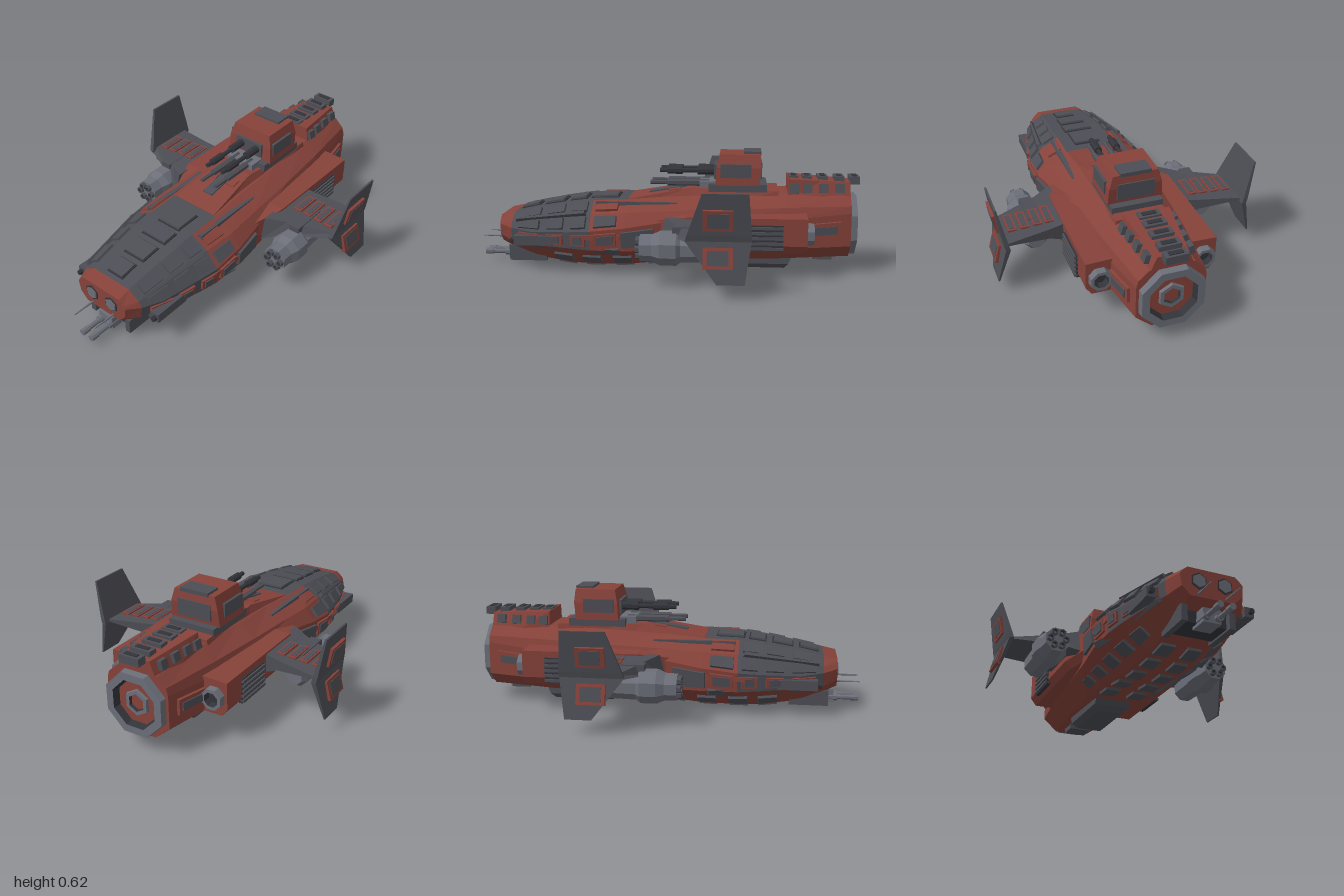
import * as THREE from 'three';

const mat = (name, color) => Object.assign(new THREE.MeshStandardMaterial({ color }), { name });
const RED = mat('hull red', 0x86423a), GREY = mat('armour grey', 0x4d4e55),
  STEEL = mat('engine steel', 0x6b6e78), DARK = mat('recess dark', 0x33343a);

// hull half profiles: z, then bottom edge, low chine, high chine, shoulder, deck edge
const HULL = [
  [0.88, [0.11, 0.135], [0.15, 0.175], [0.16, 0.235], [0.148, 0.25], [0.12, 0.275]],
  [0.81, [0.12, 0.10], [0.19, 0.15], [0.20, 0.22], [0.18, 0.25], [0.12, 0.29]],
  [0.70, [0.12, 0.055], [0.23, 0.14], [0.24, 0.21], [0.20, 0.27], [0.125, 0.315]],
  [0.50, [0.13, 0.025], [0.275, 0.135], [0.28, 0.22], [0.22, 0.30], [0.14, 0.35]],
  [0.38, [0.13, 0.02], [0.295, 0.13], [0.305, 0.23], [0.235, 0.31], [0.14, 0.365]],
  [0.20, [0.13, 0.022], [0.295, 0.13], [0.305, 0.25], [0.25, 0.32], [0.14, 0.37]],
  [0.00, [0.14, 0.045], [0.27, 0.13], [0.28, 0.28], [0.24, 0.33], [0.13, 0.385]],
  [-0.30, [0.14, 0.06], [0.24, 0.14], [0.25, 0.28], [0.225, 0.34], [0.13, 0.40]],
  [-0.62, [0.13, 0.07], [0.22, 0.14], [0.22, 0.29], [0.20, 0.35], [0.12, 0.41]],
  [-0.95, [0.09, 0.08], [0.17, 0.15], [0.17, 0.32], [0.16, 0.355], [0.11, 0.40]],
];
const half = ([, ...p]) => [[0, p[0][1]], ...p, [0, p[4][1]]];

// point on the hull skin: u = 0 keel, 6 deck centre; beyond either end is the mirrored side
function skin(z, u) {
  if (u < 0 || u > 6) { const p = skin(z, u < 0 ? -u : 12 - u); p.x *= -1; return p; }
  let i = 0;
  while (i < HULL.length - 2 && z < HULL[i + 1][0]) i++;
  const t = (z - HULL[i][0]) / (HULL[i + 1][0] - HULL[i][0]), j = Math.min(5, Math.floor(u)), f = u - j;
  const at = (s) => { const h = half(s); return [0, 1].map((k) => h[j][k] + (h[j + 1][k] - h[j][k]) * f); };
  const a = at(HULL[i]), b = at(HULL[i + 1]);
  return new THREE.Vector3(a[0] + (b[0] - a[0]) * t, a[1] + (b[1] - a[1]) * t, z);
}

// closed faceted solid through rings of points, turned outward by its signed volume
function loft(rings, colour) {
  const n = rings[0].length, faces = [], mats = [];
  const tri = (a, b, c, m) => { faces.push([a, b, c]); mats.push(m); };
  for (let i = 0; i < rings.length - 1; i++) for (let j = 0; j < n; j++) {
    const k = (j + 1) % n, m = colour(i, j);
    tri(rings[i][j], rings[i][k], rings[i + 1][k], m);
    tri(rings[i][j], rings[i + 1][k], rings[i + 1][j], m);
  }
  const first = rings[0], last = rings[rings.length - 1];
  for (let j = 1; j < n - 1; j++) {
    tri(first[0], first[j + 1], first[j], colour(0, 0));
    tri(last[0], last[j], last[j + 1], colour(rings.length - 2, 0));
  }
  const c = first[0], v = new THREE.Vector3(), q = () => new THREE.Vector3();
  let vol = 0;
  for (const [p, r, s] of faces) vol += q().subVectors(p, c).dot(v.crossVectors(q().subVectors(r, c), q().subVectors(s, c)));
  const list = [...new Set(mats)], pts = [], geo = new THREE.BufferGeometry();
  list.forEach((m, g) => {
    const start = pts.length;
    faces.forEach(([p, r, s], i) => { if (mats[i] === m) pts.push(...(vol > 0 ? [p, r, s] : [p, s, r])); });
    geo.addGroup(start, pts.length - start, g);
  });
  geo.setFromPoints(pts).computeVertexNormals();
  return new THREE.Mesh(geo, list.length > 1 ? list : list[0]);
}

export function createModel() {
  const root = new THREE.Group();
  root.name = 'gunship';
  const V = (x, y, z) => new THREE.Vector3(x, y, z);
  const put = (name, mesh) => { mesh.name = name; root.add(mesh); return mesh; };
  const solid = (name, m, rings) => put(name, loft(rings, typeof m === 'function' ? m : () => m));
  const box = (name, m, w, h, d, x, y, z) => {
    const b = put(name, new THREE.Mesh(new THREE.BoxGeometry(w, h, d), m));
    b.position.set(x, y, z);
    return b;
  };
  // faceted turned part along z, steps are [radius, z]
  const spin = (name, m, x, y, n, steps) => solid(name, m, steps.map(([r, z]) => Array.from({ length: n }, (_, i) => {
    const a = (i + 0.5) / n * Math.PI * 2;
    return V(x + r * Math.cos(a), y + r * Math.sin(a), z);
  })));
  const slab = (name, m, c, h) => { // four corners thickened outward by h
    const nrm = V(0, 0, 0).crossVectors(c[2].clone().sub(c[0]), c[3].clone().sub(c[1])).normalize();
    const mid = c[0].clone().add(c[2]).multiplyScalar(0.5);
    if (nrm.dot(V(mid.x, mid.y - 0.2, 0)) < 0) nrm.negate();
    const lift = (k, s) => c.map((p) => p.clone().lerp(mid, s).addScaledVector(nrm, k));
    solid(name, m, [lift(-0.012, 0), lift(h, 0.05)]);
  };
  const plate = (name, m, z0, z1, u0, u1, h = 0.012) =>
    slab(name, m, [skin(z0, u0), skin(z0, u1), skin(z1, u1), skin(z1, u0)], h);
  const both = (fn) => [1, -1].forEach(fn);
  const pair = (name, m, z0, z1, u0, u1, h) => both((s) => s > 0
    ? plate(name, m, z0, z1, u0, u1, h) : plate(name, m, z0, z1, 12 - u0, 12 - u1, h));

  // main hull: grey forward armour over a red body
  solid('hull', (i, j) => {
    const f = j < 6 ? j : 11 - j;
    if (i >= 1 && i <= 3 && f >= 2) return GREY;
    return i === 4 && f === 5 ? GREY : RED;
  }, HULL.map((s) => {
    const h = half(s);
    return [...h.map(([x, y]) => V(x, y, s[0])), ...h.slice(1, 6).reverse().map(([x, y]) => V(-x, y, s[0]))];
  }));

  // nose windows, spikes and chin gun
  both((s) => {
    spin('noseWindowFrame', DARK, s * 0.065, 0.213, 6, [[0.042, 0.87], [0.042, 0.884]]);
    spin('noseWindow', STEEL, s * 0.065, 0.213, 6, [[0.034, 0.87], [0.034, 0.888]]);
    spin('noseSpike', STEEL, s * 0.07, 0.148, 6, [[0.007, 0.84], [0.003, 1]]);
    spin('chinBarrel', STEEL, s * 0.03, 0.052, 8, [[0.02, 0.8], [0.02, 0.89], [0.013, 0.89], [0.013, 0.96], [0.017, 0.96], [0.017, 1]]);
    box('chinCheek', GREY, 0.03, 0.08, 0.2, s * 0.12, 0.07, 0.74);
  });
  box('chinRecess', DARK, 0.22, 0.07, 0.14, 0, 0.075, 0.74);
  box('chinMount', STEEL, 0.09, 0.07, 0.1, 0, 0.06, 0.82);

  // forward deck hatches and armour strips
  [[0.26, 0.40, 0.5], [0.43, 0.51, 0.55], [0.55, 0.65, 0.5], [0.69, 0.78, 0.4]].forEach(([a, b, u]) => {
    plate('deckHatchFrame', DARK, a - 0.007, b + 0.007, 6 - u - 0.04, 6 + u + 0.04, 0.005);
    plate('deckHatch', GREY, a, b, 6 - u, 6 + u, 0.014);
  });
  [[0.24, 0.36], [0.40, 0.48], [0.52, 0.61], [0.65, 0.77]].forEach(([a, b], i) => {
    pair('shoulderPlate', i ? GREY : RED, a, b, 4.15, 4.85, 0.012);
    pair('sidePlate', GREY, a, b, 3.15, 3.8, 0.015);
    pair('sidePanelFrame', RED, a, b, 2.2, 2.85, 0.012);
    pair('sidePanel', GREY, a + 0.015, b - 0.015, 2.3, 2.75, 0.018);
  });
  pair('chineStrake', GREY, 0.22, 0.78, 1.88, 2.15, 0.02);
  pair('sideArmour', GREY, 0.05, 0.22, 2.15, 2.85, 0.015);
  pair('upperRail', GREY, 0.4, 0.79, 3.9, 4.1, 0.022);
  both((s) => {
    box('cheekPod', GREY, 0.05, 0.05, 0.2, s * 0.25, 0.17, 0.68);
    spin('cheekGun', DARK, s * 0.255, 0.17, 6, [[0.014, 0.76], [0.014, 0.8]]);
    box('deckRail', GREY, 0.025, 0.04, 0.42, s * 0.175, 0.345, 0.15);
    box('sideRail', RED, 0.02, 0.025, 0.2, s * 0.3, 0.2, 0.32);
  });

  // raised deck leading to the turret
  const bar = (w0, w1, y0, y1, z) => [V(-w0, y0, z), V(w0, y0, z), V(w1, y1, z), V(-w1, y1, z)];
  solid('raisedDeck', RED, [bar(0.14, 0.13, 0.33, 0.372, 0.2), bar(0.15, 0.10, 0.33, 0.43, -0.13), bar(0.15, 0.11, 0.33, 0.425, -0.24), bar(0.15, 0.13, 0.33, 0.425, -0.58)]);
  const rise = box('deckCross', GREY, 0.06, 0.012, 0.2, 0, 0.408, 0);
  rise.rotation.x = 0.17;
  both((s) => { box('deckCrossArm', RED, 0.05, 0.014, 0.06, s * 0.06, 0.412, -0.04).rotation.x = 0.17; });

  // turret
  box('turretRing', GREY, 0.26, 0.04, 0.3, 0, 0.435, -0.37);
  const lid = (y, w, z0, z1) => [V(-w, y, z0), V(w, y, z0), V(w, y, z1), V(-w, y, z1)];
  solid('turret', RED, [lid(0.45, 0.14, -0.255, -0.48), lid(0.54, 0.135, -0.26, -0.49), lid(0.608, 0.115, -0.275, -0.485)]);
  box('turretRoofHatch', GREY, 0.16, 0.02, 0.09, 0, 0.61, -0.445);
  box('turretFrontPlate', GREY, 0.17, 0.075, 0.02, 0, 0.512, -0.257);
  box('turretBackPlate', GREY, 0.19, 0.085, 0.02, 0, 0.52, -0.485);
  box('turretNeck', STEEL, 0.17, 0.035, 0.1, 0, 0.445, -0.22);
  both((s) => {
    box('turretSidePlate', GREY, 0.02, 0.07, 0.16, s * 0.133, 0.525, -0.36);
    spin('turretBarrel', DARK, s * 0.05, 0.515, 8, [[0.022, -0.27], [0.022, -0.16], [0.012, -0.16], [0.012, -0.08], [0.02, -0.08], [0.02, 0], [0.012, 0], [0.012, 0.04]]);
    spin('deckGun', GREY, s * 0.045, 0.45, 6, [[0.018, -0.22], [0.018, 0.0], [0.011, 0.0], [0.011, 0.09]]);
  });

  // rear superstructure with cooling blocks
  solid('rearBlock', RED, [bar(0.13, 0.115, 0.38, 0.485, -0.63), bar(0.13, 0.095, 0.38, 0.475, -0.8), bar(0.11, 0.075, 0.38, 0.465, -0.95)]);
  [-0.66, -0.73, -0.81, -0.895, -0.975].forEach((z, i) => {
    box('coolingBlock', GREY, 0.11, 0.04, 0.05, 0, 0.472, z);
    box('coolingSlot', DARK, 0.07, 0.006, 0.025, 0, 0.493, z);
    if (i < 4) both((s) => { box('rearSideBlock', GREY, 0.025, 0.045, 0.045, s * (0.128 - i * 0.007), 0.438, z).rotation.z = s * 0.25; });
  });
  [[-0.88, -0.74]].forEach(([a, b]) => {
    pair('rearPanelFrame', RED, a - 0.02, b + 0.02, 2.3, 2.8, 0.014);
    pair('rearPanel', GREY, a, b, 2.42, 2.68, 0.02);
  });

  // main engine
  spin('mainEngine', (i) => (i > 2 ? DARK : STEEL), 0, 0.24, 8, [[0.155, -0.9], [0.17, -0.94], [0.165, -0.985], [0.125, -0.985], [0.105, -0.92]]);
  spin('mainNozzle', (i) => (i > 1 ? DARK : STEEL), 0, 0.24, 6, [[0.08, -0.9], [0.065, -0.965], [0.045, -0.965], [0.035, -0.93]]);

  both((s) => {
    // side housing with vents and a small engine
    const side = (x, y0, y1, z) => [V(s * 0.17, y0, z), V(s * (x - 0.03), y0, z), V(s * x, y0 + 0.04, z), V(s * x, y1, z), V(s * 0.17, y1 + 0.005, z)];
    solid('sideHousing', RED, [side(0.27, 0.16, 0.29, 0.04), side(0.33, 0.14, 0.318, -0.12), side(0.33, 0.14, 0.318, -0.72)]);
    box('ventPanel', DARK, 0.02, 0.13, 0.2, s * 0.328, 0.22, -0.5);
    for (let i = 0; i < 5; i++) box('ventSlat', GREY, 0.02, 0.014, 0.2, s * 0.337, 0.168 + i * 0.026, -0.5);
    spin('sideEngine', (i) => (i > 1 ? DARK : STEEL), s * 0.262, 0.23, 8, [[0.06, -0.7], [0.055, -0.755], [0.038, -0.755], [0.03, -0.725]]);

    // wing
    const rib = (x, z0, z1, y0, y1) => [V(s * x, y0, z0), V(s * x, y1, z0 - 0.03), V(s * x, y1, z1), V(s * x, y0 + 0.01, z1)];
    solid('wing', GREY, [rib(0.3, 0.02, -0.36, 0.19, 0.312), rib(0.4, -0.04, -0.375, 0.235, 0.3), rib(0.635, -0.14, -0.41, 0.265, 0.285)]);
    [0.385, 0.445, 0.51, 0.575].forEach((x) => {
      const y = 0.302 - (x - 0.4) * 0.064;
      box('wingPanelFrame', RED, 0.045, 0.014, 0.14, s * x, y, -0.25);
      box('wingPanel', GREY, 0.028, 0.018, 0.115, s * x, y, -0.25);
    });

    // wingtip fin, bent outward above and below
    const fin = (x, y, z0, z1, t) => [V(s * (x - t), y, z0), V(s * (x + t), y, z0), V(s * (x + t), y, z1), V(s * (x - t), y, z1)];
    solid('fin', GREY, [fin(0.675, 0.075, -0.28, -0.41, 0.004), fin(0.625, 0.27, -0.13, -0.44, 0.012), fin(0.632, 0.3, -0.14, -0.44, 0.012), fin(0.672, 0.5, -0.21, -0.425, 0.005)]);
    [[0.375, 0.657, -0.2], [0.195, 0.655, 0.25]].forEach(([y, x, a]) => {
      box('finPanelFrame', RED, 0.024, 0.1, 0.14, s * x, y, -0.285).rotation.z = s * a;
      box('finPanel', GREY, 0.03, 0.07, 0.1, s * x, y, -0.285).rotation.z = s * a;
    });

    // underwing rocket pod
    spin('rocketPod', STEEL, s * 0.45, 0.19, 8, [[0.045, -0.3], [0.065, -0.27], [0.07, -0.1], [0.086, -0.08], [0.086, 0.0], [0.068, 0.04], [0.066, 0.1]]);
    box('podPylon', GREY, 0.06, 0.08, 0.2, s * 0.45, 0.26, -0.16);
    for (let i = 0; i < 6; i++) {
      const a = i * Math.PI / 3, x = s * 0.45 + 0.04 * Math.cos(a), y = 0.19 + 0.04 * Math.sin(a);
      spin('rocketTube', (k) => (k > 1 ? DARK : GREY), x, y, 6, [[0.019, 0.08], [0.019, 0.12], [0.012, 0.12], [0.011, 0.1]]);
    }
  });

  // belly pads and keel
  [[0.48, 0.58], [0.33, 0.43], [0.17, 0.27], [0.0, 0.1], [-0.16, -0.06]].forEach(([a, b]) => {
    both((s) => {
      plate('bellyPad', GREY, a, b, s * 0.25, s * 0.85, 0.014);
      plate('bellySidePad', GREY, a, b, s * 1.25, s * 1.65, 0.014);
    });
  });
  solid('keel', GREY, [lid(0.075, 0.1, -0.24, -0.66), lid(0.03, 0.1, -0.27, -0.64), lid(0.002, 0.07, -0.3, -0.62)]);
  box('tailPad', GREY, 0.12, 0.04, 0.1, 0, 0.07, -0.82);
  return root;
}
